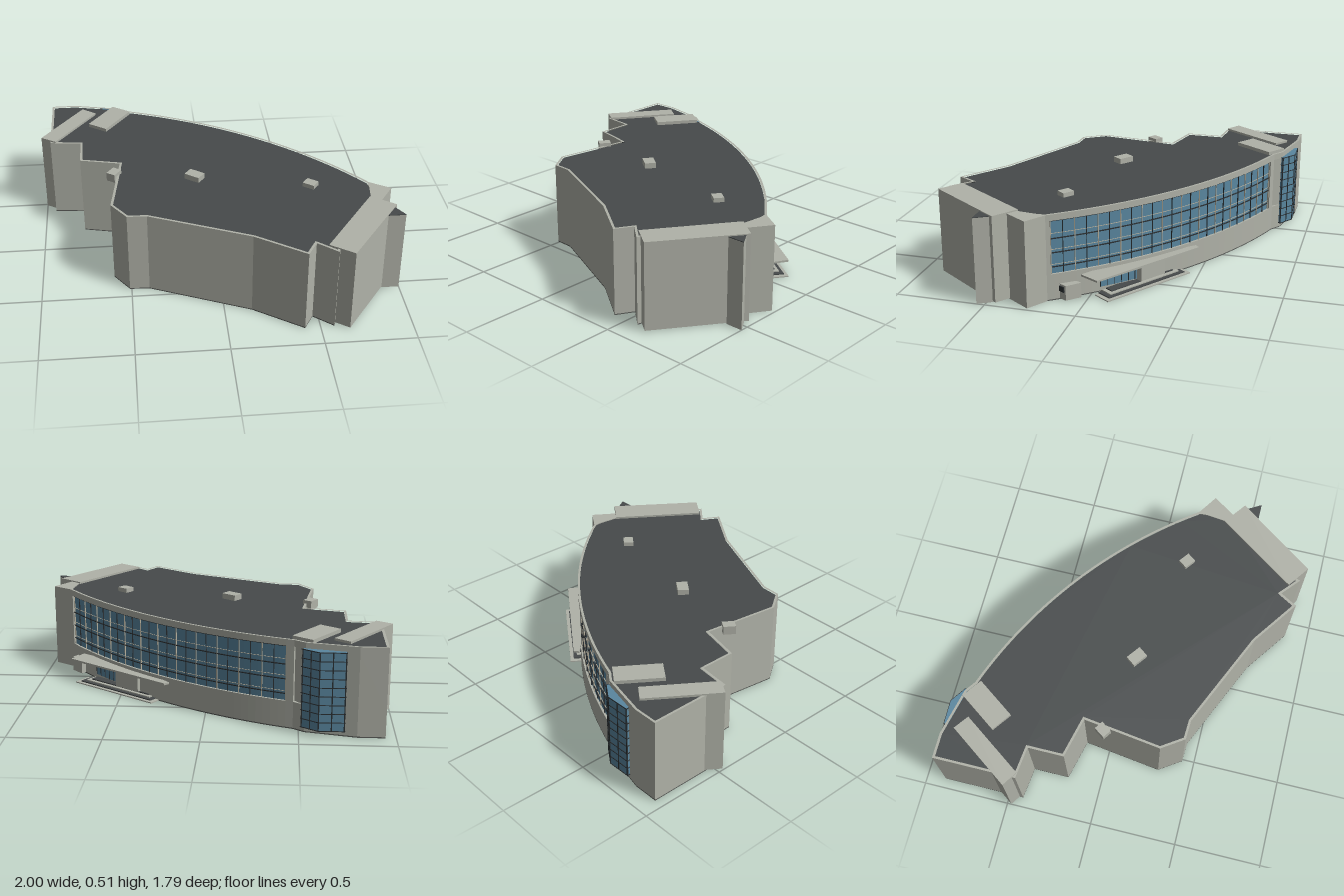
import * as THREE from 'three';

const mat = (name, color, side = THREE.FrontSide) => {
  const m = new THREE.MeshStandardMaterial({ color, side });
  m.name = name;
  return m;
};

// Arc of the curved facade, in plan (x, z); t runs 0..1 from the back corner to the right end
const CX = -1.342, CZ = 1.8, R = 2.73, A0 = -1.246, A1 = -0.627;
const arcPoint = (t, r = R) => {
  const a = A0 + (A1 - A0) * t;
  return [CX + r * Math.cos(a), CZ + r * Math.sin(a)];
};
const arc = (t0, t1, r, n = 40) =>
  Array.from({ length: n + 1 }, (_, i) => arcPoint(t0 + ((t1 - t0) * i) / n, r));

// Rest of the footprint, from the right end round the front to the back corner
const rest = [
  [0.88, 0.38], [0.8, 0.5], [0.6, 0.78], [0.575, 0.86], [0.47, 0.77], [0.415, 0.865],
  [0.15, 0.68], [-0.4, 0.435], [-0.51, 0.43], [-0.595, 0.305], [-0.535, -0.14],
  [-0.765, -0.195], [-0.765, -0.4], [-0.945, -0.42], [-0.945, -0.892], [-0.8, -0.892], [-0.53, -0.83],
];
const footprint = (r = R) => [...arc(0, 1, r), ...rest];

// Mitred inward offset of a closed plan outline
function inset(pts, d) {
  const n = pts.length;
  const normal = (a, b) => {
    const x = b[0] - a[0], z = b[1] - a[1], l = Math.hypot(x, z);
    return [-z / l, x / l];
  };
  return pts.map((p, i) => {
    const a = normal(pts[(i + n - 1) % n], p), b = normal(p, pts[(i + 1) % n]);
    const k = d / Math.max(0.4, 1 + a[0] * b[0] + a[1] * b[1]);
    return [p[0] + (a[0] + b[0]) * k, p[1] + (a[1] + b[1]) * k];
  });
}

export function createModel() {
  const concrete = mat('concrete', 0xb0b2a8);
  const roofGrey = mat('roof grey', 0x464a4b);
  const glass = mat('blue glass', 0x5a87a0);
  const frameDark = mat('dark frame', 0x2b3033);
  const framePale = mat('pale frame', 0xb4ae9c);
  const base = mat('underside grey', 0x5c5e5b);

  const model = new THREE.Group();
  model.name = 'building';

  const vecs = (pts) => pts.map(([x, z]) => new THREE.Vector2(x, -z));
  // Vertical prism over a plan outline, between two heights
  function prism(name, pts, y0, y1, material, hole, parent = model) {
    const shape = new THREE.Shape(vecs(pts));
    if (hole) shape.holes.push(new THREE.Path(vecs(hole)));
    const g = new THREE.ExtrudeGeometry(shape, { depth: y1 - y0, bevelEnabled: false });
    g.rotateX(-Math.PI / 2).translate(0, y0, 0);
    const mesh = new THREE.Mesh(g, material);
    mesh.name = name;
    parent.add(mesh);
    return mesh;
  }
  function box(name, w, h, d, x, y, z, material, parent = model, turn = 0) {
    const mesh = new THREE.Mesh(new THREE.BoxGeometry(w, h, d), material);
    mesh.name = name;
    mesh.position.set(x, y + h / 2, z);
    mesh.rotation.y = turn;
    parent.add(mesh);
    return mesh;
  }
  // Curved strip that follows the facade
  const strip = (name, t0, t1, r0, r1, y0, y1, material, parent, n = 40) =>
    prism(name, [...arc(t0, t1, r1, n), ...arc(t0, t1, r0, n).reverse()], y0, y1, material, null, parent);

  // Main body: plinth, recessed window storeys, parapet and roof
  const outline = footprint();
  prism('groundSlab', outline, 0, 0.006, base);
  prism('lowerWalls', outline, 0.006, 0.15, concrete);
  prism('upperWalls', footprint(R - 0.02), 0.15, 0.45, concrete);
  const roofEdge = inset(outline, 0.013);
  prism('parapet', outline, 0.45, 0.485, concrete, roofEdge);
  prism('roof', roofEdge, 0.45, 0.48, roofGrey);

  // Curved glazed facade with piers at both ends
  const facade = new THREE.Group();
  facade.name = 'curvedFacade';
  model.add(facade);
  strip('backPier', 0, 0.025, R - 0.03, R, 0.15, 0.45, concrete, facade, 2);
  strip('endPier', 0.985, 1, R - 0.03, R, 0.15, 0.45, concrete, facade, 2);
  strip('windowBand', 0.025, 0.985, R - 0.02, R - 0.012, 0.15, 0.45, glass, facade);
  for (const y of [0.185, 0.265, 0.345, 0.445])
    strip('darkTransom', 0.025, 0.985, R - 0.013, R - 0.006, y, y + 0.005, frameDark, facade);
  for (const y of [0.2, 0.285, 0.375])
    strip('paleTransom', 0.025, 0.985, R - 0.013, R - 0.008, y, y + 0.002, framePale, facade);
  for (let i = 0; i <= 24; i++) {
    const t = 0.027 + (0.955 * i) / 24, w = i % 2 ? 0.0007 : 0.0011;
    strip('mullion', t - w, t + w, R - 0.013, R - 0.006, 0.15, 0.45, i % 2 ? frameDark : framePale, facade, 1);
  }

  // Projecting corner window at the back
  const bay = [[-0.735, -0.893], [-0.6, -0.895], [-0.512, -0.835], [-0.55, -0.8], [-0.73, -0.85]];
  prism('cornerWindow', bay, 0.03, 0.455, glass);
  const bayEdge = inset(bay, -0.003);
  for (let i = 0; i <= 9; i++)
    prism('cornerTransom', bayEdge, 0.03 + i * 0.0467, 0.034 + i * 0.0467, frameDark);
  for (const [x, z] of [[-0.733, -0.893], [-0.667, -0.894], [-0.6, -0.894], [-0.556, -0.865], [-0.514, -0.836]])
    box('cornerMullion', 0.006, 0.425, 0.006, x, 0.03, z, frameDark);

  // Solid wall slabs rising just above the roof
  prism('rightWallSlab', [[0.84, 0.355], [0.97, 0.45], [0.655, 0.89], [0.53, 0.8]], 0.006, 0.492, concrete);
  prism('leftWallSlab', [[-0.755, -0.825], [-0.675, -0.765], [-0.915, -0.42], [-1, -0.475]], 0.01, 0.493, concrete);
  prism('stairHead', [[-0.565, -0.83], [-0.46, -0.755], [-0.61, -0.54], [-0.715, -0.615]], 0.47, 0.5, concrete);

  // Angled pier and triangular fin at the right end
  prism('endWedge', [[0.865, 0.195], [0.98, 0.27], [0.88, 0.42], [0.84, 0.4]], 0, 0.485, concrete);
  const fin = [[0.955, 0.47], [1, 0.545], [0.9, 0.545]];
  prism('cornerFin', fin, 0, 0.482, concrete);
  prism('finRoof', fin, 0.482, 0.486, roofGrey);

  // Rooftop vents
  box('middleVent', 0.094, 0.035, 0.064, -0.113, 0.477, 0.055, concrete, model, -0.64);
  box('rightVent', 0.07, 0.028, 0.058, 0.533, 0.477, 0.197, concrete, model, -0.64);
  box('leftVent', 0.055, 0.05, 0.07, -0.57, 0.453, -0.025, concrete, model, -0.6);

  // Entrance: canopy, doors, porch and steps
  prism('canopy', [[0.21, -0.46], [0.235, -0.482], [0.828, -0.065], [0.77, 0.04], [0.5, -0.14]], 0.12, 0.131, concrete);
  strip('entranceDoors', 0.62, 0.82, R - 0.004, R + 0.004, 0.03, 0.11, glass, model, 8);
  for (let i = 0; i <= 8; i++) {
    const t = 0.62 + i * 0.025;
    strip('doorFrame', t - 0.001, t + 0.001, R, R + 0.007, 0.03, 0.11, frameDark, model, 1);
  }
  const entrance = new THREE.Group();
  entrance.name = 'entrance';
  entrance.position.set(0.53, 0, -0.275);
  entrance.rotation.y = -0.606;
  model.add(entrance);
  box('porch', 0.17, 0.09, 0.06, -0.05, 0.024, 0.06, concrete, entrance);
  for (let i = 0; i < 4; i++) {
    const d = 0.11 - i * 0.02;
    box('step', 0.59 - i * 0.05, 0.006, d, 0.015, i * 0.006, 0.09 - d / 2, i % 2 ? roofGrey : concrete, entrance);
  }

  // Low service box beside the entrance, with a dark louvre
  prism('serviceBox', [[0.785, 0.035], [0.85, 0.1], [0.82, 0.15], [0.75, 0.1]], 0.006, 0.09, concrete);
  box('louvre', 0.008, 0.03, 0.035, 0.837, 0.05, 0.126, frameDark, model, -0.54);

  return model;
}
